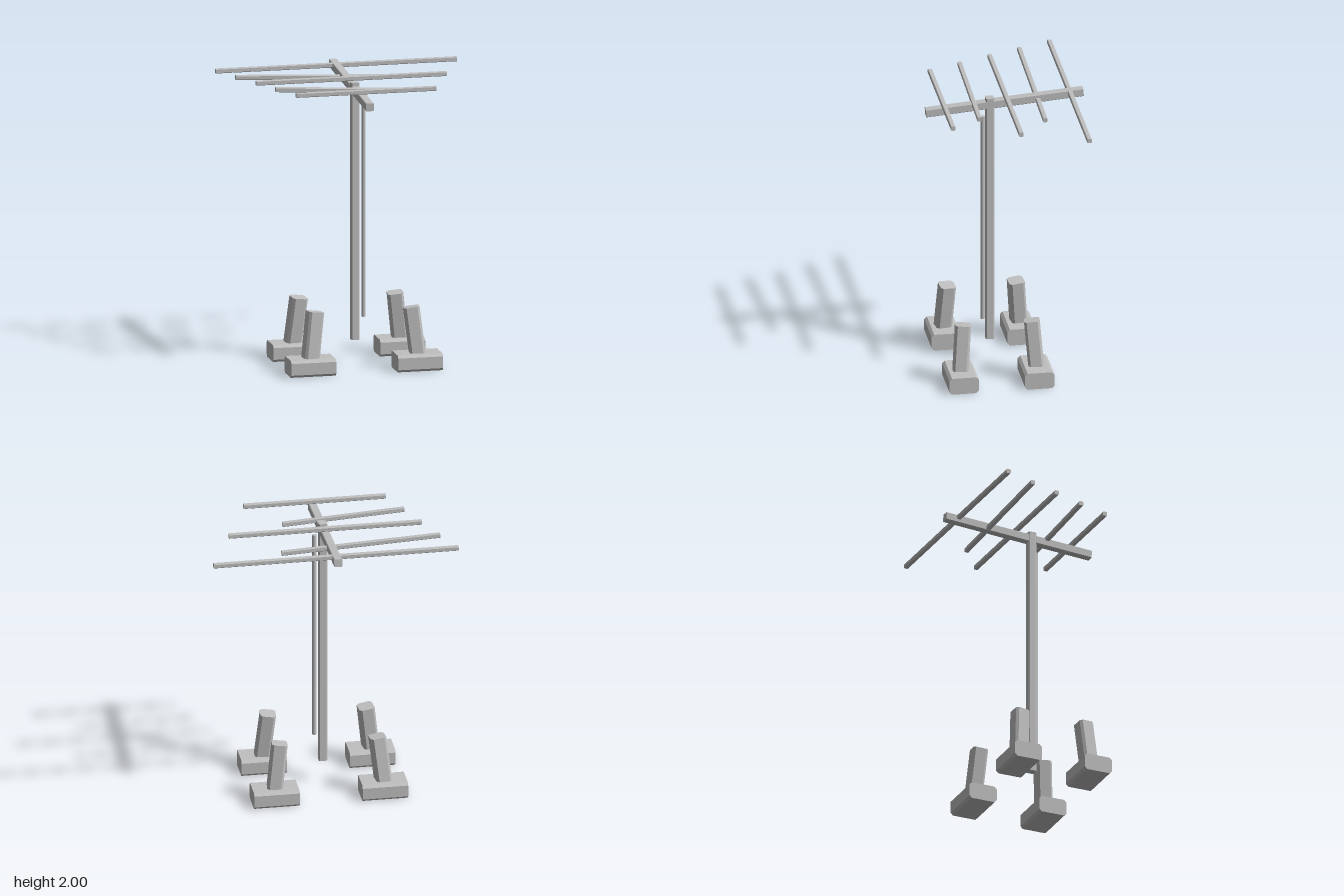
import * as THREE from 'three';

const V = (x, y, z) => new THREE.Vector3(x, y, z);

// Rectangular bar with chamfered long edges, running from point a to point b
function bar(name, a, b, w, h, c, material) {
  const x = w / 2, y = h / 2;
  const section = new THREE.Shape([
    [x, -y + c], [x, y - c], [x - c, y], [-x + c, y],
    [-x, y - c], [-x, -y + c], [-x + c, -y], [x - c, -y],
  ].map(([px, py]) => new THREE.Vector2(px, py)));
  const dir = b.clone().sub(a);
  const length = dir.length();
  const geometry = new THREE.ExtrudeGeometry(section, { depth: length, bevelEnabled: false });
  const mesh = new THREE.Mesh(geometry, material);
  mesh.name = name;
  mesh.position.copy(a);
  mesh.quaternion.setFromUnitVectors(V(0, 0, 1), dir.normalize());
  return mesh;
}

export function createModel() {
  const model = new THREE.Group();
  model.name = 'antenna';
  const metal = new THREE.MeshStandardMaterial({ color: 0xc0c0c0 });
  metal.name = 'light grey';

  // Mast and the sloping boom on top of it
  model.add(bar('mast', V(0, 0.172, 0.103), V(0, 1.972, 0.103), 0.058, 0.058, 0.007, metal));
  model.add(bar('boom', V(0, 1.89, 0.547), V(0, 1.972, -0.545), 0.056, 0.056, 0.004, metal));

  // Round cable conduit beside the mast
  const conduit = new THREE.Mesh(new THREE.CylinderGeometry(0.015, 0.015, 1.515, 16), metal);
  conduit.name = 'conduit';
  conduit.position.set(0.048, 1.098, 0.159);
  model.add(conduit);

  // Cross elements: z, left end x and y, right end x and y
  const elements = [
    [-0.451, -0.85, 1.976, 0.85, 1.976],
    [-0.228, -0.76, 1.974, 0.34, 1.924],
    [-0.008, -0.67, 1.976, 0.67, 1.976],
    [0.215, -0.585, 1.974, 0.26, 1.926],
    [0.436, -0.493, 1.976, 0.493, 1.976],
  ];
  elements.forEach(([z, x0, y0, x1, y1], i) => {
    model.add(bar(`element${i + 1}`, V(x0, y0, z), V(x1, y1, z), 0.031, 0.031, 0.004, metal));
  });

  // Four footings, each a block with a stub leaning towards the middle
  for (const side of [-1, 1]) {
    for (const [zBase, lean, end] of [[0.367, -1, 'front'], [-0.158, 1, 'back']]) {
      const foot = new THREE.Group();
      foot.name = `${end}${side > 0 ? 'Left' : 'Right'}Footing`;
      const x = side * 0.376;
      foot.add(bar('block', V(x - 0.158, 0.06, zBase), V(x + 0.158, 0.06, zBase), 0.204, 0.118, 0.018, metal));
      foot.add(bar('stub', V(x, 0.11, zBase),
        V(side * 0.339, 0.434, zBase + lean * 0.024), 0.108, 0.108, 0.016, metal));
      model.add(foot);
    }
  }
  return model;
}
